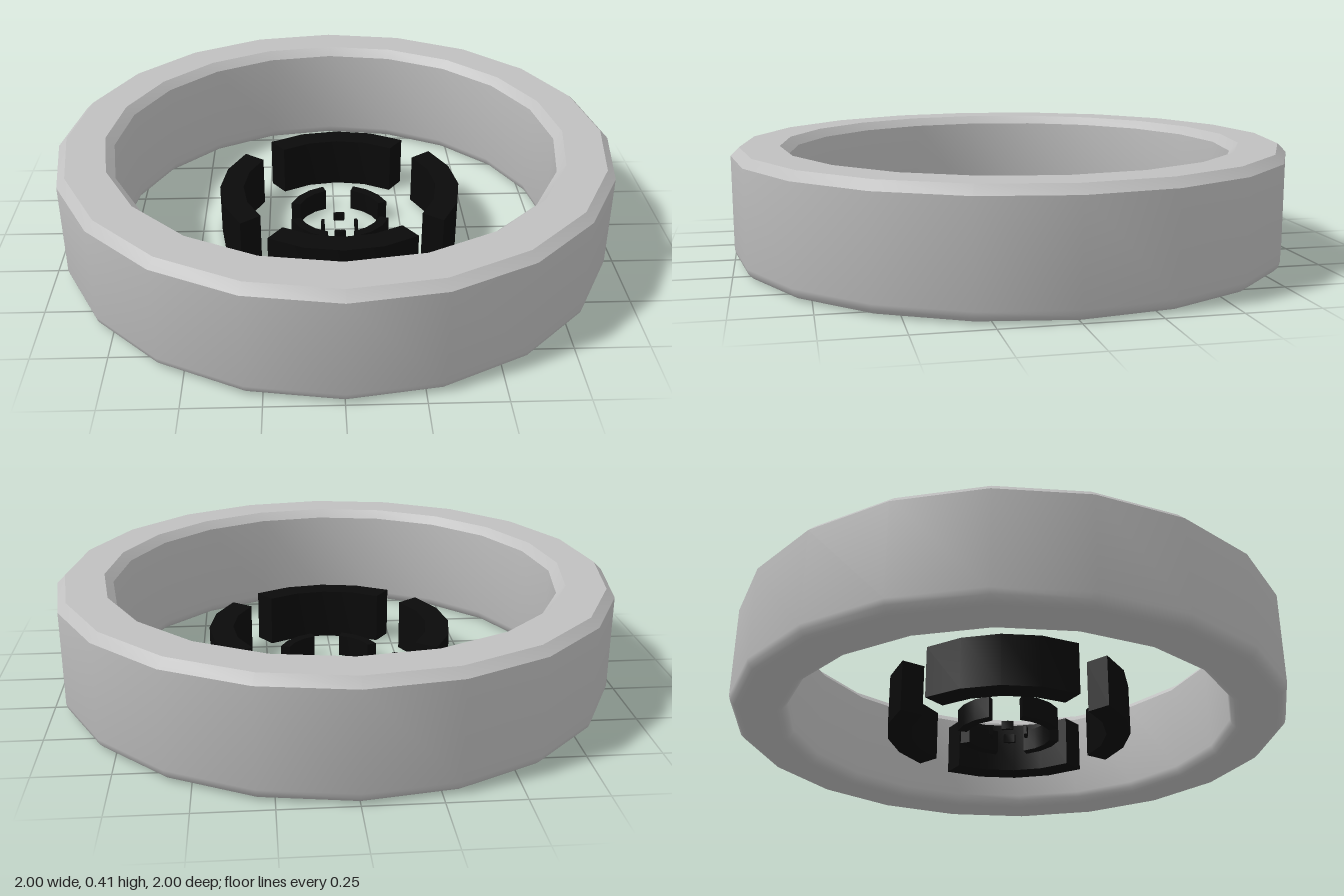
import * as THREE from 'three';
import { toCreasedNormals } from 'three/addons/utils/BufferGeometryUtils.js';

const STEP = Math.PI / 10; // every ring is based on a 20-sided circle
const CREASE = 0.62; // smooth around the rings, sharp at chamfers

const grey = new THREE.MeshStandardMaterial({ color: 0xc0c0c0, name: 'grey' });
const black = new THREE.MeshStandardMaterial({ color: 0x0a0a0a, name: 'black' });

// Band with chamfered top edges and rounded bottom edges
function makeOuterRing() {
  const profile = [
    [0.96, 0], [0.98, 0.006], [0.994, 0.02], [1, 0.04],
    [1, 0.375], [0.97, 0.405],
    [0.83, 0.405], [0.8, 0.375],
    [0.8, 0.04], [0.806, 0.02], [0.82, 0.006], [0.84, 0], [0.96, 0],
  ].map(([x, y]) => new THREE.Vector2(x, y));
  const mesh = new THREE.Mesh(toCreasedNormals(new THREE.LatheGeometry(profile, 20), CREASE), grey);
  mesh.name = 'outerRing';
  return mesh;
}

// Arc block centred on the +x axis, spanning a number of 18 degree facets
function arcGeometry(outer, inner, height, facets) {
  const points = [];
  const arc = (r, i) => {
    const a = (i - facets / 2) * STEP;
    points.push(new THREE.Vector2(r * Math.cos(a), r * Math.sin(a)));
  };
  for (let i = 0; i <= facets; i++) arc(outer, i);
  for (let i = facets; i >= 0; i--) arc(inner, i);
  const geo = new THREE.ExtrudeGeometry(new THREE.Shape(points), { depth: height, bevelEnabled: false });
  geo.rotateX(-Math.PI / 2);
  return toCreasedNormals(geo, CREASE);
}

// Four equal arcs around the centre
function makeBrokenRing(name, outer, inner, height, facets, turn) {
  const ring = new THREE.Group();
  ring.name = name;
  const geo = arcGeometry(outer, inner, height, facets);
  for (let i = 0; i < 4; i++) {
    const mesh = new THREE.Mesh(geo, black);
    mesh.name = name + 'Arc' + (i + 1);
    mesh.rotation.y = turn + i * Math.PI / 2;
    ring.add(mesh);
  }
  ring.position.set(0.017, 0, -0.004);
  return ring;
}

export function createModel() {
  const model = new THREE.Group();
  model.name = 'concentricRings';
  model.add(
    makeOuterRing(),
    makeBrokenRing('largeBrokenRing', 0.445, 0.358, 0.19, 4, 0),
    makeBrokenRing('mediumBrokenRing', 0.191, 0.156, 0.081, 3, Math.PI / 4),
    makeBrokenRing('smallBrokenRing', 0.071, 0.059, 0.031, 2, 0),
  );
  return model;
}
